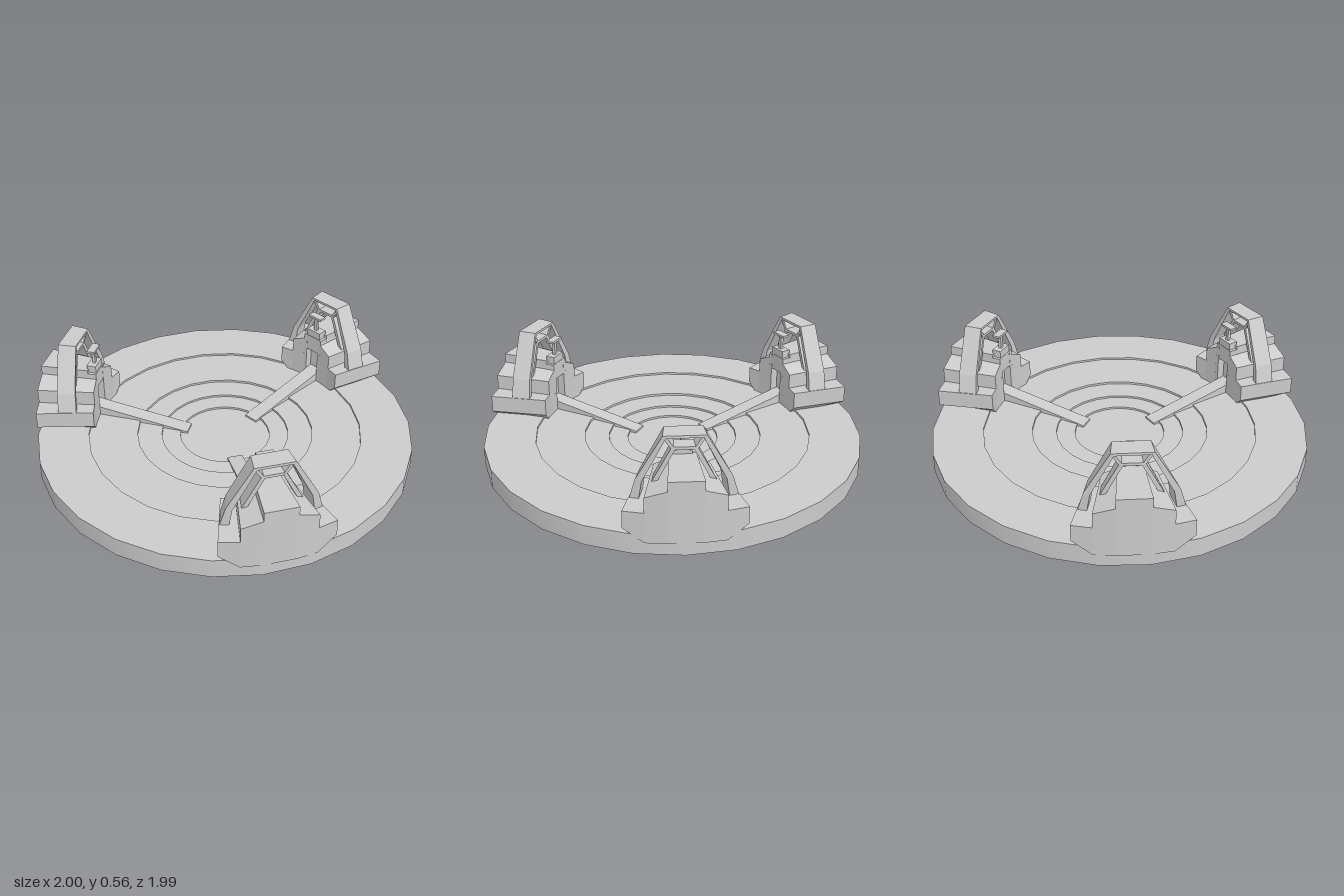
import * as THREE from 'three';
import { toCreasedNormals } from 'three/addons/utils/BufferGeometryUtils.js';

const material = new THREE.MeshStandardMaterial({ color: 0xcccccc });
const R = 1.003; // outer radius of the station walls

function add(parent, geometry, name) {
  const mesh = new THREE.Mesh(toCreasedNormals(geometry, 0.5), material);
  mesh.name = name;
  parent.add(mesh);
  return mesh;
}

// Outline of [sideways, height] points, given depth from rIn to rOut and bent around the y axis
function bent(parent, name, points, rIn, rOut) {
  const shape = new THREE.Shape(points.map(([s, y]) => new THREE.Vector2(s, y)));
  const geometry = new THREE.ExtrudeGeometry(shape, { depth: 1, bevelEnabled: false });
  const p = geometry.attributes.position;
  for (let i = 0; i < p.count; i++) {
    const r = rIn + (rOut - rIn) * p.getZ(i);
    const a = Math.asin(p.getX(i) / rOut);
    p.setXYZ(i, r * Math.cos(a), p.getY(i), -r * Math.sin(a));
  }
  return add(parent, geometry, name);
}

// The same bent part on both sides of the station
function bentPair(parent, name, points, rIn, rOut) {
  bent(parent, name + 'Right', points, rIn, rOut);
  bent(parent, name + 'Left', points.map(([s, y]) => [-s, y]), rIn, rOut);
}

function box(parent, name, size, position) {
  const mesh = add(parent, new THREE.BoxGeometry(...size), name);
  mesh.position.set(...position);
}

function createStation() {
  const station = new THREE.Group();

  // Stepped wall, lowest at the ends, with chamfered undersides
  bent(station, 'wallCentre', [[-0.085, 0.065], [0.085, 0.065], [0.085, 0.39], [-0.085, 0.39]], 0.745, R);
  bentPair(station, 'wallStep', [[0.085, 0.065], [0.19, 0.065], [0.19, 0.305], [0.085, 0.34]], 0.7, R);
  bentPair(station, 'wallEnd', [[0.19, 0.065], [0.29, 0.135], [0.29, 0.225], [0.19, 0.225]], 0.7, R);

  // Doorway in the inner face, at the head of the ramp
  bentPair(station, 'doorPost', [[0.042, 0.07], [0.0635, 0.07], [0.0635, 0.37], [0.042, 0.37]], 0.7, 0.75);
  box(station, 'doorLintel', [0.045, 0.09, 0.085], [0.7225, 0.325, 0]);

  // Outer arch
  const near = 0.79, far = 0.885;
  bent(station, 'archTop', [[-0.1, 0.555], [-0.09, 0.542], [0.09, 0.542], [0.1, 0.555]], near, far);
  bentPair(station, 'archUpperLeg', [[0.1, 0.555], [0.085, 0.542], [0.195, 0.315], [0.225, 0.325]], near, far);
  bentPair(station, 'archFoot', [[0.225, 0.325], [0.195, 0.315], [0.21, 0.215], [0.255, 0.215]], near, far);

  // Inner arch and the corner struts joining the two
  bent(station, 'innerArchTop', [[-0.058, 0.492], [-0.048, 0.477], [0.048, 0.477], [0.058, 0.492]], 0.8, 0.87);
  bentPair(station, 'innerArchLeg', [[0.058, 0.492], [0.044, 0.477], [0.13, 0.3], [0.155, 0.3]], 0.8, 0.87);
  bentPair(station, 'archStrut', [[0.085, 0.548], [0.098, 0.536], [0.06, 0.48], [0.048, 0.49]], 0.8, 0.87);

  // Control stand above the doorway
  box(station, 'standBase', [0.05, 0.04, 0.09], [0.727, 0.39, 0]);
  box(station, 'standPost', [0.016, 0.1, 0.02], [0.725, 0.45, 0]);
  box(station, 'standTop', [0.042, 0.012, 0.085], [0.725, 0.494, 0]);

  // Ramp down to the middle of the floor
  const side = new THREE.Shape([[0.2, 0.05], [0.75, 0.05], [0.75, 0.15], [0.2, 0.07]]
    .map(([x, y]) => new THREE.Vector2(x, y)));
  const ramp = new THREE.ExtrudeGeometry(side, { depth: 0.08, bevelEnabled: false });
  add(station, ramp.translate(0, 0, -0.04), 'ramp');
  return station;
}

export function createModel() {
  const model = new THREE.Group();
  model.name = 'arenaPlatform';

  // Round platform with rings stepping down to the centre
  const profile = [
    [0, 0], [1, 0], [1, 0.105], [0.73, 0.105], [0.73, 0.094], [0.47, 0.094], [0.47, 0.082],
    [0.34, 0.082], [0.34, 0.071], [0.24, 0.071], [0.24, 0.06], [0, 0.06],
  ].map(([x, y]) => new THREE.Vector2(x, y));
  add(model, new THREE.LatheGeometry(profile, 26, Math.PI / 2), 'platform');

  // Three stations evenly spaced around the rim
  for (let i = 0; i < 3; i++) {
    const station = createStation();
    station.name = 'station' + (i + 1);
    station.rotation.y = (i * Math.PI * 2) / 3;
    model.add(station);
  }
  return model;
}
